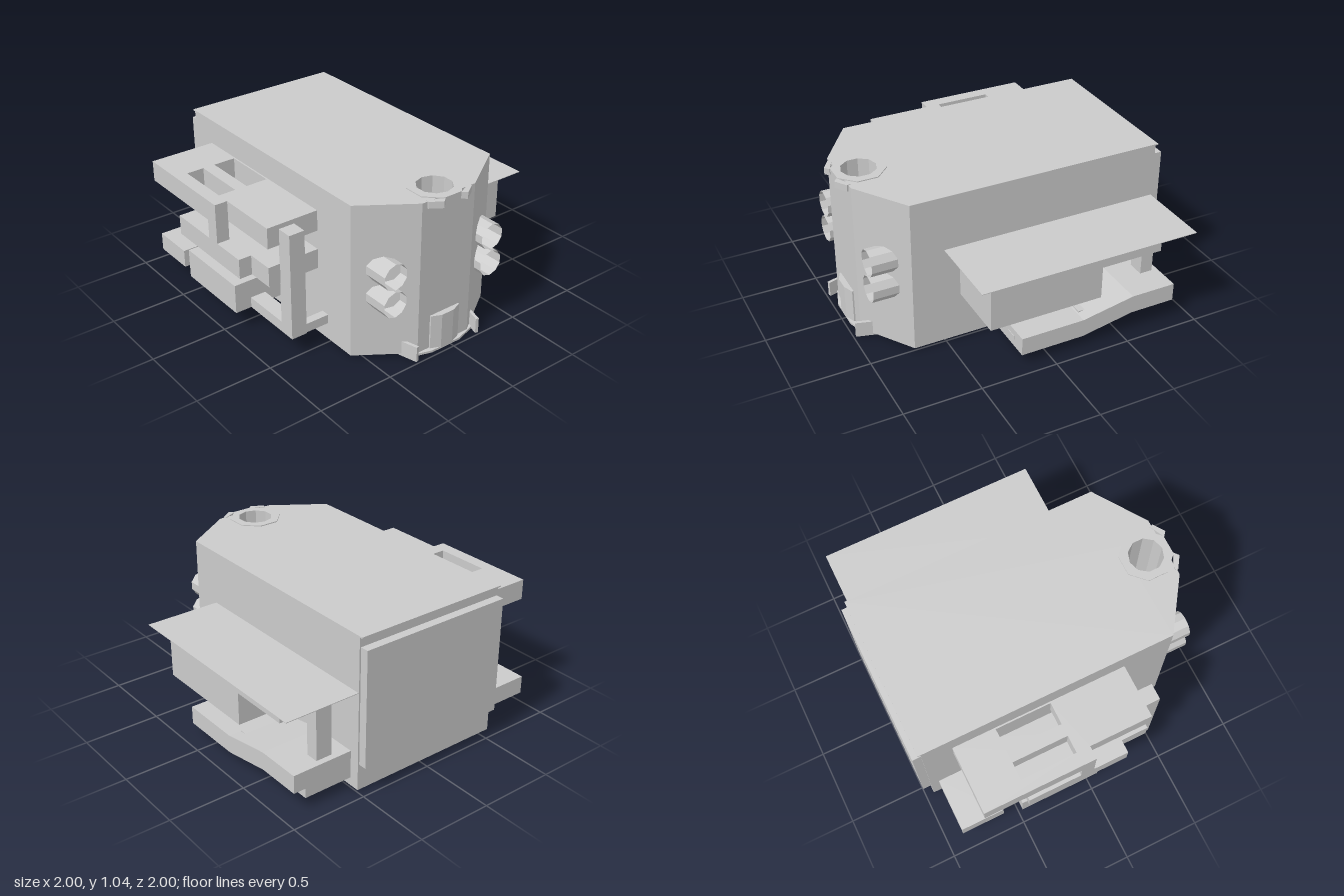
import * as THREE from 'three';

const CX = -0.035, CZ = 0.81; // centre of the vertical shaft

export function createModel() {
  const root = new THREE.Group();
  const mat = new THREE.MeshStandardMaterial({ color: 0xcccccc, flatShading: true, side: THREE.DoubleSide });

  const add = (name, geo) => {
    const mesh = new THREE.Mesh(geo, mat);
    mesh.name = name;
    root.add(mesh);
    return mesh;
  };
  // box from its limits on each axis
  const box = (name, x0, x1, y0, y1, z0, z1) => {
    const g = new THREE.BoxGeometry(x1 - x0, y1 - y0, z1 - z0);
    g.translate((x0 + x1) / 2, (y0 + y1) / 2, (z0 + z1) / 2);
    return add(name, g);
  };
  const ring = (x, z, r, n, turn = 0) => Array.from({ length: n }, (_, i) => {
    const a = turn + (i / n) * Math.PI * 2;
    return [x + r * Math.cos(a), z + r * Math.sin(a)];
  });
  const flip = (pts) => pts.map(([x, z]) => new THREE.Vector2(x, -z));
  // plan outline (x, z) raised from y0 to y1
  const slab = (name, outline, y0, y1, holes = []) => {
    const s = new THREE.Shape(flip(outline));
    holes.forEach((h) => s.holes.push(new THREE.Path(flip(h))));
    const g = new THREE.ExtrudeGeometry(s, { depth: y1 - y0, bevelEnabled: false });
    g.rotateX(-Math.PI / 2);
    g.translate(0, y0, 0);
    return add(name, g);
  };
  // side outline (z, y) stretched from x0 to x1
  const sideProfile = (name, pts, x0, x1) => {
    const s = new THREE.Shape(pts.map(([z, y]) => new THREE.Vector2(-z, y)));
    const g = new THREE.ExtrudeGeometry(s, { depth: x1 - x0, bevelEnabled: false });
    g.rotateY(Math.PI / 2);
    g.translate(x0, 0, 0);
    return add(name, g);
  };

  // main hull with the shaft and two sockets in its underside
  const hull = (back) => [[-0.565, back], [0.5, back], [0.5, 0.71], [0.165, 0.935], [-0.235, 0.935], [-0.565, 0.71]];
  const shaft = ring(CX, CZ, 0.112, 10, Math.PI / 10);
  const sockets = [-0.41, 0.34].map((x) => ring(x, 0.72, 0.08, 8, Math.PI / 8));
  slab('lowerHull', hull(-0.945), 0.015, 0.2, [shaft, ...sockets]);
  slab('upperHull', hull(-0.945), 0.2, 1.022, [shaft]);
  slab('roof', hull(-0.965), 1.022, 1.03, [shaft]);
  box('backPanel', -0.555, 0.49, 0.19, 0.96, -1, -0.94);

  // collars and clips round the shaft
  slab('topCollar', ring(CX, CZ, 0.17, 8, Math.PI / 8), 1.03, 1.036, [shaft]);
  slab('bottomCollar', ring(CX, CZ, 0.29, 8, Math.PI / 8)
    .map(([x, z]) => [x, Math.min(z, 0.97)]), 0, 0.015, [shaft]);
  slab('frontLip', [[CX - 0.09, 0.93], [CX + 0.09, 0.93], [CX + 0.07, 0.965], [CX - 0.07, 0.965]], 1.01, 1.03);
  for (const s of [-1, 1]) {
    slab('topClip', [[CX + s * 0.16, 0.92], [CX + s * 0.06, 0.97], [CX + s * 0.09, 0.995], [CX + s * 0.165, 0.945]],
      0.99, 1.033);
    slab('bottomFin', [[CX + s * 0.265, 0.86], [CX + s * 0.285, 0.86], [CX + s * 0.25, 0.985], [CX + s * 0.23, 0.98]],
      0, 0.103);
  }

  // half-round housing low on the front
  slab('frontHousing', [[-0.145, 0.9], [-0.145, 0.945], [-0.08, 0.972], [0.01, 0.972], [0.08, 0.945], [0.08, 0.9]],
    0.005, 0.245);

  // two stacked open tubes on each slanted front face
  for (const x of [-0.41, 0.34]) for (const y of [0.61, 0.425]) {
    const g = new THREE.CylinderGeometry(0.086, 0.086, 0.22, 10, 1, true);
    g.rotateX(Math.PI / 2);
    g.translate(x, y, 0.818);
    add('frontTube', g);
  }

  // left side: flat shelf, stepped block, post and cranked arm
  box('shelf', 0.5, 1, 0.667, 0.671, -0.94, 0.5);
  sideProfile('shelfBlock',
    [[0.4, 0.667], [0.4, 0.325], [-0.345, 0.325], [-0.345, 0.54], [-0.755, 0.54], [-0.755, 0.667]], 0.5, 0.91);
  box('shelfPost', 0.61, 0.72, 0.2, 0.667, -0.84, -0.755);
  sideProfile('crankedArm', [[0.19, 0.07], [0.19, 0.19], [-0.23, 0.19], [-0.58, 0.255], [-0.88, 0.255],
    [-0.88, 0.135], [-0.58, 0.135], [-0.23, 0.07]], 0.5, 0.91);
  box('armBlock', 0.5, 0.83, 0.07, 0.2, -0.88, -0.24);
  box('armLatch', 0.73, 0.81, 0.12, 0.145, 0.18, 0.194);

  // right side: two decks joined by a wall and a front post
  const slot = (x0, x1) => [[x0, -0.475], [x1, -0.475], [x1, -0.11], [x0, -0.11]];
  slab('upperDeck', [[-0.56, -0.755], [-1, -0.755], [-1, -0.02], [-0.915, -0.02], [-0.915, 0.395], [-0.56, 0.395]],
    0.73, 0.865, [slot(-0.915, -0.8), slot(-0.72, -0.575)]);
  slab('lowerDeck', [[-0.56, -0.46], [-1, -0.46], [-1, 0.215], [-0.915, 0.215], [-0.915, 0.395], [-0.56, 0.395]],
    0.475, 0.605);
  box('deckWall', -1, -0.915, 0.605, 0.73, -0.11, -0.02);
  box('frontPost', -0.835, -0.73, 0.13, 0.835, 0.39, 0.497);
  box('postBrace', -0.73, -0.56, 0.13, 0.19, 0.435, 0.49);

  // right side: low boxes with a ramp between them
  box('lowBox', -0.945, -0.56, 0.13, 0.325, -0.48, 0.06);
  box('rearBox', -0.915, -0.56, 0.13, 0.25, -0.89, -0.6);
  sideProfile('ramp', [[-0.48, 0.13], [-0.48, 0.3], [-0.6, 0.23], [-0.6, 0.13]], -0.73, -0.56);
  box('footRail', -0.835, -0.73, 0.13, 0.2, 0.06, 0.4);

  return root;
}
